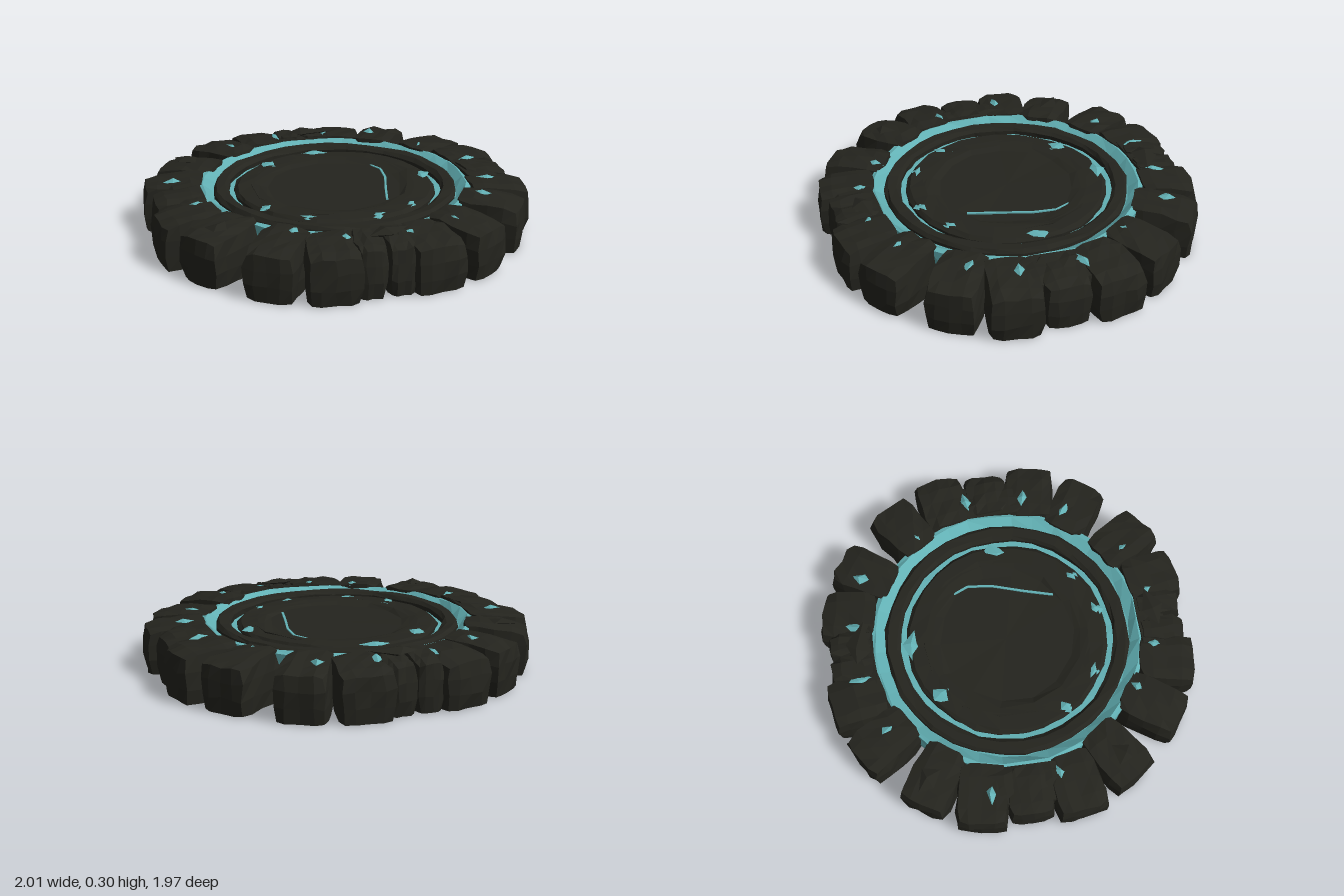
import * as THREE from 'three';

const stone = new THREE.MeshStandardMaterial({ color: 0x24241e, flatShading: true });
const glow = new THREE.MeshStandardMaterial({ color: 0x62b0b4, flatShading: true, side: THREE.DoubleSide });
const DEG = Math.PI / 180;

// Repeatable value in -1..1 for a point, so shared corners move together
function noise(x, y, z, seed) {
  const r = (v) => Math.round(v * 1000);
  const s = Math.sin(r(x) * 12.9898 + r(y) * 78.233 + r(z) * 37.719 + seed * 19.19) * 43758.5453;
  return (s - Math.floor(s)) * 2 - 1;
}

function moveVertices(geometry, rule) {
  const p = geometry.attributes.position;
  const v = new THREE.Vector3();
  for (let i = 0; i < p.count; i++) {
    rule(v.fromBufferAttribute(p, i));
    p.setXYZ(i, v.x, v.y, v.z);
  }
  geometry.computeVertexNormals();
  return geometry;
}

function roughen(geometry, amount, seed, vertical = amount) {
  return moveVertices(geometry, (v) => {
    const { x, y, z } = v;
    v.x += noise(x, y, z, seed) * amount;
    v.y += noise(x, y, z, seed + 1) * vertical;
    v.z += noise(x, y, z, seed + 2) * amount;
  });
}

function add(parent, name, geometry, material) {
  const mesh = new THREE.Mesh(geometry, material);
  mesh.name = name;
  parent.add(mesh);
  return mesh;
}

// Hewn block: chamfered, slightly narrower inward, top falling towards the outside
function blockGeometry(width, height, length, seed) {
  const g = new THREE.BoxGeometry(1, 1, 1, 4, 3, 4);
  return moveVertices(g, (v) => {
    const { x, y, z } = v;
    const ends = [x, y, z].filter((c) => Math.abs(c) > 0.49).length;
    const cut = ends === 3 ? 0.022 : ends === 2 ? 0.011 : 0;
    const taper = 0.98 + z * 0.06;
    v.x = x * width * taper - Math.sign(x) * (Math.abs(x) > 0.49 ? cut : 0);
    v.z = z * length - Math.sign(z) * (Math.abs(z) > 0.49 ? cut : 0);
    v.y = (y + 0.5) * (height - 0.028 * (z + 0.5));
    if (y > 0.49) v.y -= cut * 0.9;
    if (y < -0.49) v.y += cut * 0.2;
    const j = 0.007;
    v.x += noise(x, y, z, seed) * j;
    v.z += noise(x, y, z, seed + 1) * j;
    if (y > -0.49) v.y += noise(x, y, z, seed + 2) * j;
  });
}

function placeBlock(parent, name, angle, facing, inner, outer, width, height, seed) {
  const mesh = add(parent, name, blockGeometry(width, height, outer - inner, seed), stone);
  const r = (inner + outer) / 2;
  mesh.position.set(Math.sin(angle * DEG) * r, 0, Math.cos(angle * DEG) * r);
  mesh.rotation.y = facing * DEG;
}

function turned(profile, sides) {
  return new THREE.LatheGeometry(profile.map(([r, y]) => new THREE.Vector2(r, y)), sides);
}

// Jagged flat chip lying on a surface
function chip(parent, name, x, y, z, sx, sy, sz, turn, material, seed) {
  const mesh = add(parent, name, roughen(new THREE.OctahedronGeometry(1, 0), 0.3, seed), material);
  mesh.scale.set(sx, sy, sz);
  mesh.position.set(x, y, z);
  mesh.rotation.y = turn;
}

export function createModel() {
  const model = new THREE.Group();
  model.name = 'stoneDais';

  // Glowing core, seen in the grooves, between blocks and from below
  const core = [[0.67, 0.02], [0.705, 0.015], [0.72, 0.12], [0.725, 0.245], [0.7, 0.252],
    [0.65, 0.216], [0.6, 0.205], [0.5, 0.2], [0.48, 0.16], [0.66, 0.12], [0.67, 0.02]];
  add(model, 'glowingCore', roughen(turned(core, 36), 0.007, 3, 0.005), glow);

  // Dark ring between the two glowing grooves
  const ring = [[0.567, 0.17], [0.65, 0.17], [0.647, 0.23], [0.63, 0.247], [0.583, 0.244], [0.565, 0.228], [0.567, 0.17]];
  add(model, 'innerRing', roughen(turned(ring, 32), 0.006, 8, 0.004), stone);

  // Floor with a slightly sunken centre, and a hollow underside
  const floor = [[0, 0.075], [0.37, 0.075], [0.4, 0.095], [0.665, 0.105], [0.665, 0.14], [0.535, 0.17],
    [0.535, 0.216], [0.515, 0.234], [0.43, 0.236]];
  add(model, 'floor', roughen(turned(floor, 28), 0.006, 14, 0.004), stone);
  const plate = [[0.46, 0.19], [0.45, 0.236], [0.4, 0.23], [0.36, 0.219], [0, 0.219]];
  add(model, 'centrePlate', roughen(turned(plate, 14), 0.01, 21, 0.004), stone);

  // Outer blocks: the same quarter repeated four times
  const blocks = new THREE.Group();
  blocks.name = 'outerBlocks';
  model.add(blocks);
  for (let q = 0; q < 4; q++) {
    const base = q * 90;
    const seed = q * 31 + 5;
    const wide = q % 2 === 1;
    const reach = wide ? 1.025 : 1.005;
    for (const s of [-1, 1]) {
      placeBlock(blocks, 'sideBlock', base + s * 16.3, base + s * 9, 0.7, reach, 0.27, 0.27, seed + s);
      placeBlock(blocks, 'cornerBlock', base + 45 + s * 11.2, base + 45 + s * 11.5, 0.675, 1.015, 0.262, 0.272, seed + 9 + s * 3);
    }
    // Joining slab behind the side blocks
    placeBlock(blocks, 'joiningSlab', base, base, 0.695, wide ? 0.91 : 0.86, 0.5, 0.268, seed + 21);
    // Middle stones, split in two at front and back
    if (wide) {
      placeBlock(blocks, 'middleBlock', base, base, 0.71, 0.975, 0.24, 0.274, seed + 17);
    } else {
      for (const s of [-1, 1]) placeBlock(blocks, 'middleBlock', base + s * 5, base, 0.71, 0.95, 0.15, 0.278, seed + 17 + s);
    }
  }

  // Broken stone and glowing chips on top of the blocks
  const chips = new THREE.Group();
  chips.name = 'chips';
  model.add(chips);
  for (const s of [-1, 1]) {
    chip(chips, 'stoneChip', 0.03, 0.272, s * 0.79, 0.12, 0.028, 0.07, 0.3 * s, stone, 40 + s);
    chip(chips, 'stoneChip', -0.72, 0.262, s * 0.5, 0.07, 0.018, 0.06, s, stone, 44 + s);
  }
  for (let i = 0; i < 16; i++) {
    const a = i * 22.5 * DEG + 0.2 + noise(i, 1, 2, 7) * 0.06;
    const r = 0.8 + noise(i, 4, 1, 3) * 0.06;
    chip(chips, 'glowingChip', Math.sin(a) * r, 0.254, Math.cos(a) * r, 0.032, 0.016, 0.055, a, glow, 50 + i);
  }

  // Glowing breaks along the inner groove: [angle, radius, half width]
  for (const [a, r, w] of [[90, 0.49, 0.07], [178, 0.5, 0.08], [36, 0.49, 0.07], [-30, 0.49, 0.07], [-143, 0.48, 0.06], [10, 0.5, 0.05], [-60, 0.5, 0.04]]) {
    chip(chips, 'grooveBreak', Math.sin(a * DEG) * r, 0.231, Math.cos(a * DEG) * r, w, 0.013, 0.045, a * DEG, glow, 80 + a);
  }

  // Thin glowing crack across the floor
  const crack = [[0.28, -0.25], [0.315, -0.17], [0.3, -0.04], [0.25, 0.12], [0.205, 0.28]];
  for (let i = 1; i < crack.length; i++) {
    const [x0, z0] = crack[i - 1];
    const [x1, z1] = crack[i];
    const strip = add(chips, 'floorCrack', new THREE.BoxGeometry(0.012, 0.012, Math.hypot(x1 - x0, z1 - z0)), glow);
    strip.position.set((x0 + x1) / 2, 0.22, (z0 + z1) / 2);
    strip.rotation.y = Math.atan2(x1 - x0, z1 - z0);
  }

  // Small glowing slits in the underside
  for (let i = 0; i < 14; i++) {
    const a = (i / 14) * Math.PI * 2;
    const r = 0.51 + noise(i, 2, 2, 1) * 0.05;
    chip(chips, 'undersideSlit', Math.sin(a) * r, 0.1, Math.cos(a) * r, 0.05, 0.01, 0.016, a, glow, 120 + i);
  }
  return model;
}
